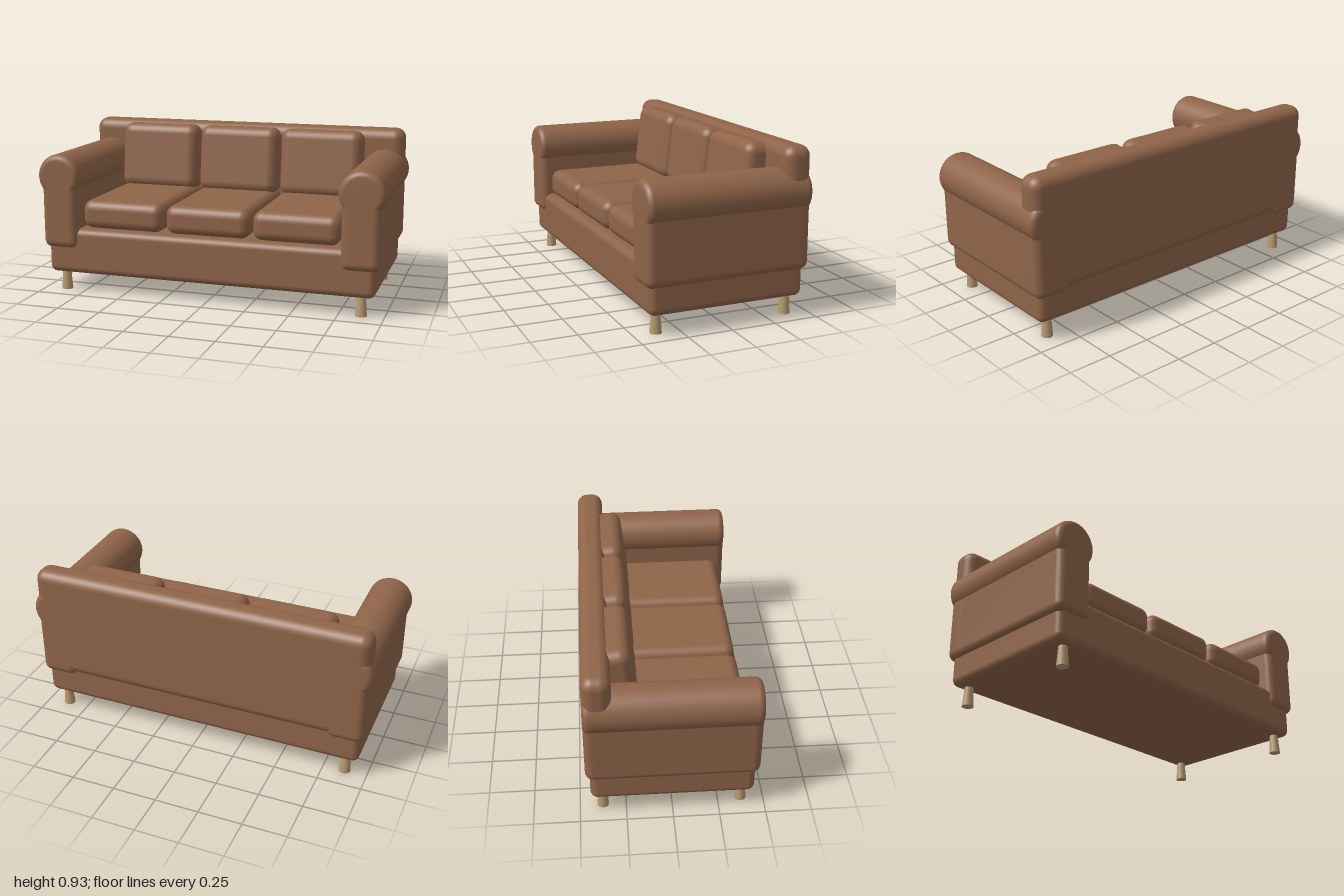
import * as THREE from 'three';
import { RoundedBoxGeometry } from 'three/addons/geometries/RoundedBoxGeometry.js';

export function createModel() {
  const sofa = new THREE.Group();
  sofa.name = 'sofa';

  const leather = new THREE.MeshStandardMaterial({ color: 0x8f6449 });
  leather.name = 'brown leather';
  const wood = new THREE.MeshStandardMaterial({ color: 0xb89970 });
  wood.name = 'light wood';

  const add = (name, geometry, material, x, y, z) => {
    const mesh = new THREE.Mesh(geometry, material);
    mesh.name = name;
    mesh.position.set(x, y, z);
    sofa.add(mesh);
    return mesh;
  };
  const padded = (w, h, d, r) => new RoundedBoxGeometry(w, h, d, 5, r);

  // Base and backrest
  add('base', padded(1.91, 0.265, 0.88, 0.04), leather, 0, 0.2425, 0);
  add('backrest', padded(1.96, 0.65, 0.153, 0.06), leather, 0, 0.6, -0.3865);

  // Three seat cushions with leaning back cushions
  for (const [i, side] of ['right', 'middle', 'left'].entries()) {
    const x = (i - 1) * 0.507;
    add(`${side}SeatCushion`, padded(0.49, 0.165, 0.76, 0.055), leather, x, 0.4575, 0.03);
    const back = add(`${side}BackCushion`, padded(0.49, 0.4, 0.18, 0.06), leather, x, 0.712, -0.273);
    back.rotation.x = -0.12;
  }

  // Arm roll: a cylinder along z with softened rims
  const R = 0.127, half = 0.463, bevel = 0.035;
  const profile = [new THREE.Vector2(0, -half)];
  for (const end of [-1, 1]) {
    for (let i = 0; i <= 6; i++) {
      const a = (end < 0 ? i : 6 - i) / 6 * Math.PI / 2;
      profile.push(new THREE.Vector2(
        R - bevel + bevel * Math.sin(a),
        end * (half - bevel + bevel * Math.cos(a))));
    }
  }
  profile.push(new THREE.Vector2(0, half));
  const rollGeometry = new THREE.LatheGeometry(profile, 48).rotateX(Math.PI / 2);
  const armGeometry = padded(0.215, 0.43, 0.926, 0.045);
  const legGeometry = new THREE.CylinderGeometry(0.022, 0.032, 0.13, 24);

  // Arms and tapered legs, mirrored
  for (const s of [-1, 1]) {
    const side = s > 0 ? 'left' : 'right';
    add(`${side}ArmPanel`, armGeometry, leather, s * 0.8715, 0.475, 0);
    add(`${side}ArmRoll`, rollGeometry, leather, s * 0.873, 0.678, 0);
    add(`${side}FrontLeg`, legGeometry, wood, s * 0.873, 0.065, 0.375);
    add(`${side}BackLeg`, legGeometry, wood, s * 0.873, 0.065, -0.375);
  }

  return sofa;
}
